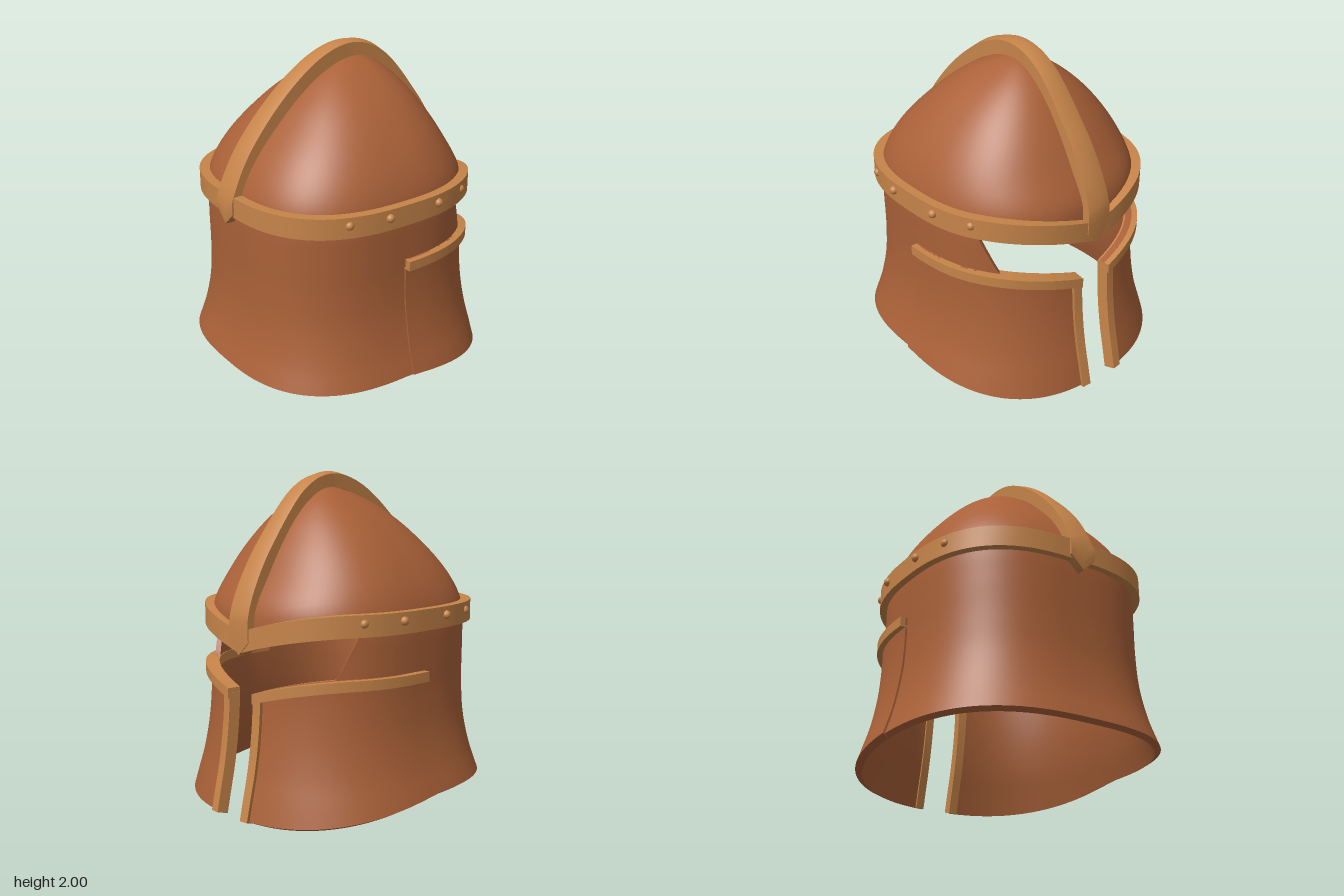
import * as THREE from 'three';
import { mergeGeometries } from 'three/addons/utils/BufferGeometryUtils.js';

const { lerp } = THREE.MathUtils;

// Wall profile by height: half width, face-side z, rear z, centre z
const heights = [0, 0.14, 0.3, 0.5, 0.7, 0.95, 1.1, 1.22, 1.4, 1.6, 1.75, 1.85, 1.9, 1.92];
const rings = [
  0.85, -0.83, 0.9, 0.03, 0.805, -0.8, 0.855, 0.03, 0.755, -0.765, 0.805, 0.03, 0.715, -0.735, 0.77, 0.02,
  0.7, -0.72, 0.76, 0.02, 0.7, -0.72, 0.76, 0.02, 0.7, -0.718, 0.758, 0.02, 0.69, -0.705, 0.745, 0.02,
  0.615, -0.605, 0.65, 0, 0.47, -0.48, 0.47, -0.02, 0.315, -0.36, 0.3, -0.04, 0.17, -0.245, 0.14, -0.07,
  0.07, -0.15, 0.0, -0.08, 0, -0.08, -0.08, -0.08,
];
const profile = new THREE.CubicInterpolant(heights, rings, 4);
const FACE = 2.4, REAR = 2.7; // squareness of the two halves

// Point on the wall; a = 0 faces -z, a = PI/2 is +x
function wall(shapeY, a, off = 0, y = shapeY) {
  const [sx, zf, zb, zc] = profile.evaluate(Math.min(Math.max(shapeY, 0), 1.92));
  const c = Math.cos(a), s = Math.sin(a), n = c > 0 ? FACE : REAR;
  const grow = (h) => (h > 0.06 ? h + off : Math.max(0, h));
  const hz = c > 0 ? grow(zc - zf) : grow(zb - zc);
  return new THREE.Vector3(
    Math.sign(s) * Math.abs(s) ** (2 / n) * grow(sx), y,
    zc - Math.sign(c) * Math.abs(c) ** (2 / n) * hz);
}
function angleAtZ(y, z) {
  const [, zf, zb, zc] = profile.evaluate(y);
  return z < zc
    ? Math.acos(Math.min(1, (zc - z) / (zc - zf)) ** (FACE / 2))
    : Math.PI - Math.acos(Math.min(1, (z - zc) / (zb - zc)) ** (REAR / 2));
}
function angleAtX(y, x) {
  return Math.asin((x / profile.evaluate(y)[0]) ** (FACE / 2));
}

function grid(f, nu, nv) {
  const pos = [], idx = [], w = nu + 1;
  for (let j = 0; j <= nv; j++)
    for (let i = 0; i <= nu; i++) pos.push(...f(i / nu, j / nv).toArray());
  for (let j = 0; j < nv; j++)
    for (let i = 0; i < nu; i++) {
      const k = j * w + i;
      idx.push(k, k + 1, k + w + 1, k, k + w + 1, k + w);
    }
  const g = new THREE.BufferGeometry();
  g.setAttribute('position', new THREE.Float32BufferAttribute(pos, 3));
  g.setIndex(idx);
  g.computeVertexNormals();
  return g;
}
// Solid plate: u across, v up, w outward, with sharp borders
function slab(f, nu, nv) {
  return mergeGeometries([
    grid((s, t) => f(s, t, 1), nu, nv), grid((s, t) => f(t, s, 0), nv, nu),
    grid((s, t) => f(1, s, t), nv, 1), grid((s, t) => f(0, t, s), 1, nv),
    grid((s, t) => f(t, 1, s), 1, nu), grid((s, t) => f(s, 0, t), nu, 1),
  ]);
}

// Dip of the brow and of the cheek tops toward the middle of the face
function dip(a, depth) {
  if (Math.cos(a) <= 0) return 0;
  return depth * Math.max(0, 1 - Math.abs(wall(1.1, a).x) / 0.6) ** 1.5;
}
// Lower rim, sinking toward the face side
function rim(a) {
  const z = wall(0.14, a).z;
  return 0.14 - 0.12 * Math.max(0, (0.04 - z) / 0.84) ** 1.2;
}
const cheekTop = (a) => 0.86 - dip(a, 0.145);

export function createModel() {
  const shell = new THREE.MeshStandardMaterial({ color: 0xaa6138 });
  const trim = new THREE.MeshStandardMaterial({ color: 0xc68449 });
  shell.name = 'copper brown';
  trim.name = 'light bronze';
  const model = new THREE.Group();
  model.name = 'helmet';
  const add = (name, geometry, material) => {
    const m = new THREE.Mesh(geometry, material);
    m.name = name;
    model.add(m);
    return m;
  };

  // Pointed dome
  add('dome', slab((u, v, w) => {
    const a = (1 - u) * Math.PI * 2;
    const y = lerp(1.12 - dip(a, 0.13), 1.92, Math.sin(v * Math.PI / 2));
    return wall(y, a, (w - 1) * 0.03, y - (1 - w) * 0.03 * v);
  }, 80, 30), shell);

  // Neck wall, open at the face
  add('neckGuard', slab((u, v, w) => {
    const nominal = lerp(0.14, 1.14, v);
    const edge = lerp(-0.52, -0.39, Math.max(0, (nominal - 0.87) / 0.27));
    const open = angleAtZ(nominal, edge);
    const a = lerp(Math.PI * 2 - open, open, u);
    const y = lerp(rim(a), 1.14, v);
    return wall(y, a, (w - 1) * 0.03, y - (1 - w) * 0.02 * (1 - v));
  }, 72, 30), shell);

  // Brow band around the whole helmet
  add('browBand', slab((u, v, w) => {
    const a = (1 - u) * Math.PI * 2;
    return wall(1.16, a, lerp(-0.04, 0.045, w), lerp(1.1, 1.225, v) - dip(a, 0.13));
  }, 96, 1), trim);

  // Cheek plates with raised borders
  for (const side of [1, -1]) {
    const label = side > 0 ? 'left' : 'right';
    const across = (u, from, to) => (side > 0 ? lerp(to, from, u) : -lerp(from, to, u));
    const back = (y) => angleAtZ(y, 0.04);

    add(label + 'CheekPlate', slab((u, v, w) => {
      const nominal = lerp(0.08, 0.8, v);
      const a = across(u, angleAtX(nominal, 0.1), back(nominal));
      const y = lerp(rim(a), cheekTop(a), v);
      return wall(y, a, lerp(-0.025, 0.012, w), y - (1 - w) * 0.02 * (1 - v));
    }, 36, 20), shell);

    add(label + 'CheekTopTrim', slab((u, v, w) => {
      const a = across(u, angleAtX(0.8, 0.1), back(0.8));
      const y = cheekTop(a) - 0.06 * (1 - v);
      return wall(y, a, lerp(-0.035, 0.045, w));
    }, 36, 1), trim);

    add(label + 'CheekFrontTrim', slab((u, v, w) => {
      const nominal = lerp(0.02, 0.75, v);
      const a = across(u, angleAtX(nominal, 0.099), angleAtX(nominal, 0.155));
      const y = lerp(rim(a), cheekTop(a) - 0.03, v);
      return wall(y, a, lerp(-0.035, 0.035, w), y - (1 - w) * 0.02 * (1 - v));
    }, 2, 20), trim);
  }

  // Ridge strip over the crown, widening to pointed ends
  const path = new THREE.SplineCurve([
    [0.81, 1.12], [0.8, 1.22], [0.67, 1.47], [0.43, 1.74], [0.165, 1.93], [-0.08, 1.985],
    [-0.31, 1.885], [-0.55, 1.6], [-0.68, 1.39], [-0.755, 1.2], [-0.765, 1.04],
  ].map(([z, y]) => new THREE.Vector2(z, y)));
  path.arcLengthDivisions = 400;
  add('crownStrip', slab((u, v, w) => {
    const p = path.getPointAt(v), t = path.getTangentAt(v);
    const mid = 1 - Math.abs(2 * u - 1);
    const end = Math.max(0, 1 - 20 * Math.min(v, 1 - v));
    const off = w > 0.5 ? 0.014 * mid * (1 - end) : -0.085;
    const half = 0.055 + 0.03 * Math.abs(2 * v - 1);
    return new THREE.Vector3((2 * u - 1) * half, p.y - t.x * off - 0.08 * mid * end, p.x + t.y * off);
  }, 2, 80), trim);

  // Rivets on the band
  const rivet = new THREE.SphereGeometry(0.026, 14, 10);
  for (const side of [1, -1])
    for (const z of [0.43, 0.19, -0.17, -0.41]) {
      const a = angleAtZ(1.16, z) * side;
      add('rivet', rivet, trim).position.copy(wall(1.16, a, 0.048, 1.175)).setZ(z);
    }
  return model;
}
